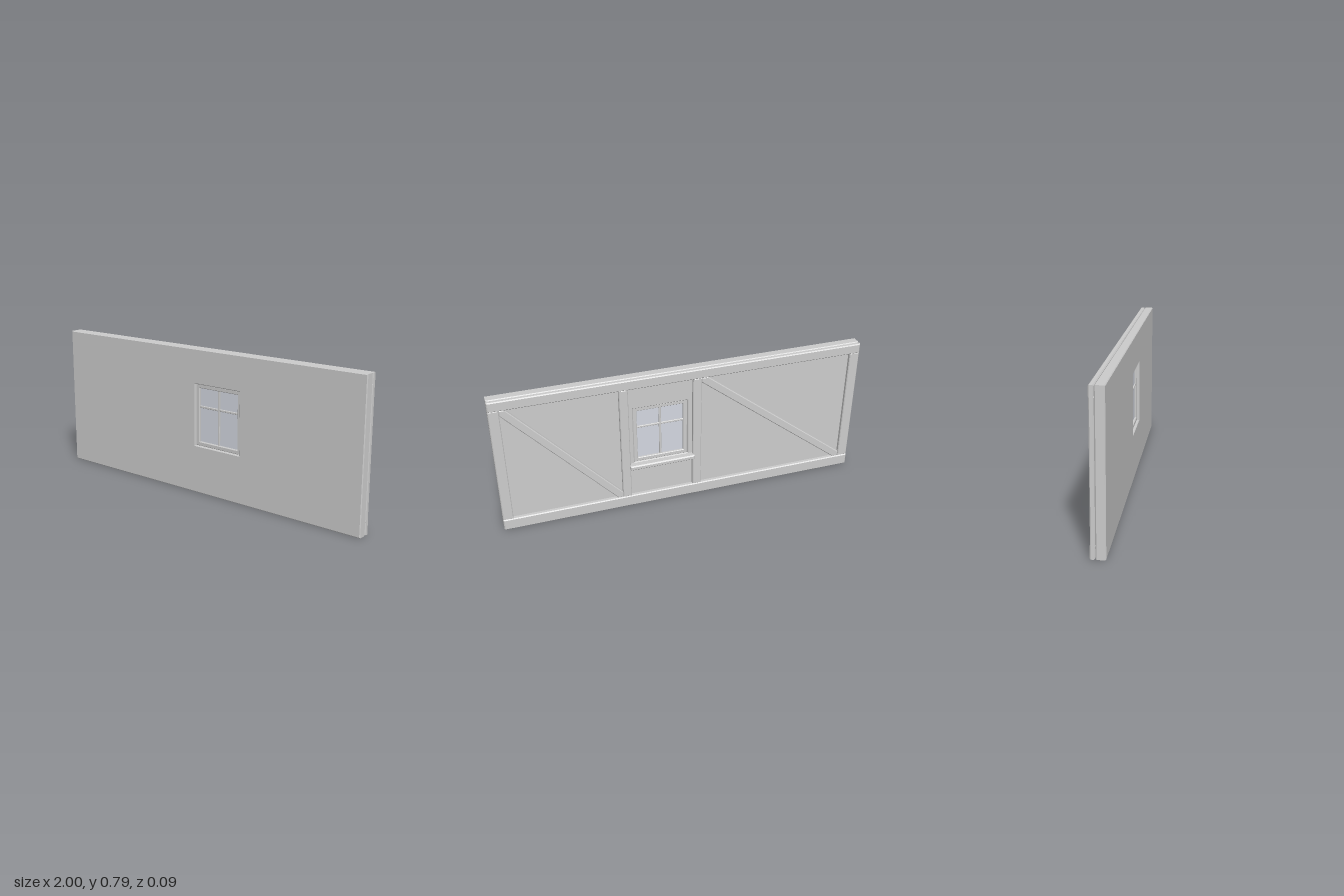
import * as THREE from 'three';

const grey = new THREE.MeshStandardMaterial({ color: 0xcccccc });
const glass = new THREE.MeshStandardMaterial({ color: 0xd3d7e0 });

const rect = (x0, x1, y0, y1) => [[x0, y0], [x1, y0], [x1, y1], [x0, y1]].map(p => new THREE.Vector2(...p));

// Slab with chamfered edges: outline in x/y, running from z0 to z1, with an optional hole
function slab(name, outline, z0, z1, bevel, hole) {
  const shape = new THREE.Shape(outline);
  if (hole) shape.holes.push(new THREE.Path(hole));
  const geometry = new THREE.ExtrudeGeometry(shape, {
    depth: z1 - z0 - 2 * bevel,
    bevelEnabled: true, bevelThickness: bevel, bevelSize: bevel, bevelOffset: -bevel, bevelSegments: 1,
  });
  geometry.translate(0, 0, z0 + bevel);
  const mesh = new THREE.Mesh(geometry, grey);
  mesh.name = name;
  return mesh;
}

// Diagonal bar fitted into the corners of a bay, from upper +x to lower -x
function brace(name, x0, x1, y0, y1, width) {
  const dx = x1 - x0, dy = y1 - y0, length = Math.hypot(dx, dy);
  const ox = width / 2 * length / dy, oy = width / 2 * length / dx;
  const outline = [[x0, y0], [x0 + ox, y0], [x1, y1 - oy], [x1, y1], [x1 - ox, y1], [x0, y0 + oy]];
  return slab(name, outline.map(p => new THREE.Vector2(...p)), -0.027, -0.004, 0.004);
}

export function createModel() {
  const model = new THREE.Group();
  model.name = 'wallWithWindow';
  const H = 0.793, railTop = 0.738, railBottom = 0.066;
  const win = { x0: -0.03, x1: 0.27, y0: 0.265, y1: 0.605 };
  const opening = rect(win.x0, win.x1, win.y0, win.y1);

  // Solid wall panel with the window opening
  model.add(slab('wallPanel', rect(-1, 1, 0, H), -0.004, 0.043, 0.004, opening));

  // Timber frame on the back: rails, posts and diagonal braces
  const frame = new THREE.Group();
  frame.name = 'timberFrame';
  frame.add(slab('topRail', rect(-1, 1, railTop, H), -0.031, -0.006, 0.005));
  frame.add(slab('bottomRail', rect(-1, 1, 0, railBottom), -0.032, -0.006, 0.005));
  for (const [x0, x1] of [[-1, -0.945], [-0.1, -0.052], [0.297, 0.345], [0.945, 1]])
    frame.add(slab('post', rect(x0, x1, railBottom - 0.002, railTop + 0.002), -0.029, -0.006, 0.004));
  frame.add(brace('leftBrace', 0.345, 0.945, railBottom, railTop, 0.042));
  frame.add(brace('rightBrace', -0.945, -0.1, railBottom, railTop, 0.042));
  model.add(frame);

  // Window: casing, cross bars and pane set inside the opening
  const windowGroup = new THREE.Group();
  windowGroup.name = 'window';
  const border = 0.022;
  const ix0 = win.x0 + border, ix1 = win.x1 - border, iy0 = win.y0 + border, iy1 = win.y1 - border;
  const cx = (ix0 + ix1) / 2, cy = 0.48, bar = 0.006;
  windowGroup.add(slab('windowCasing', opening, 0.004, 0.03, 0.003, rect(ix0, ix1, iy0, iy1)));
  windowGroup.add(slab('uprightBar', rect(cx - bar, cx + bar, iy0 - 0.002, iy1 + 0.002), 0.009, 0.025, 0.002));
  windowGroup.add(slab('crossBar', rect(ix0 - 0.002, ix1 + 0.002, cy - bar, cy + bar), 0.009, 0.025, 0.002));
  const pane = new THREE.Mesh(new THREE.BoxGeometry(ix1 - ix0, iy1 - iy0, 0.003), glass);
  pane.name = 'glassPane';
  pane.position.set(cx, (iy0 + iy1) / 2, 0.017);
  windowGroup.add(pane);

  // Ledge below the window on the framed side
  windowGroup.add(slab('windowSill', rect(-0.06, 0.302, 0.24, 0.267), -0.043, -0.002, 0.006));
  model.add(windowGroup);

  return model;
}
